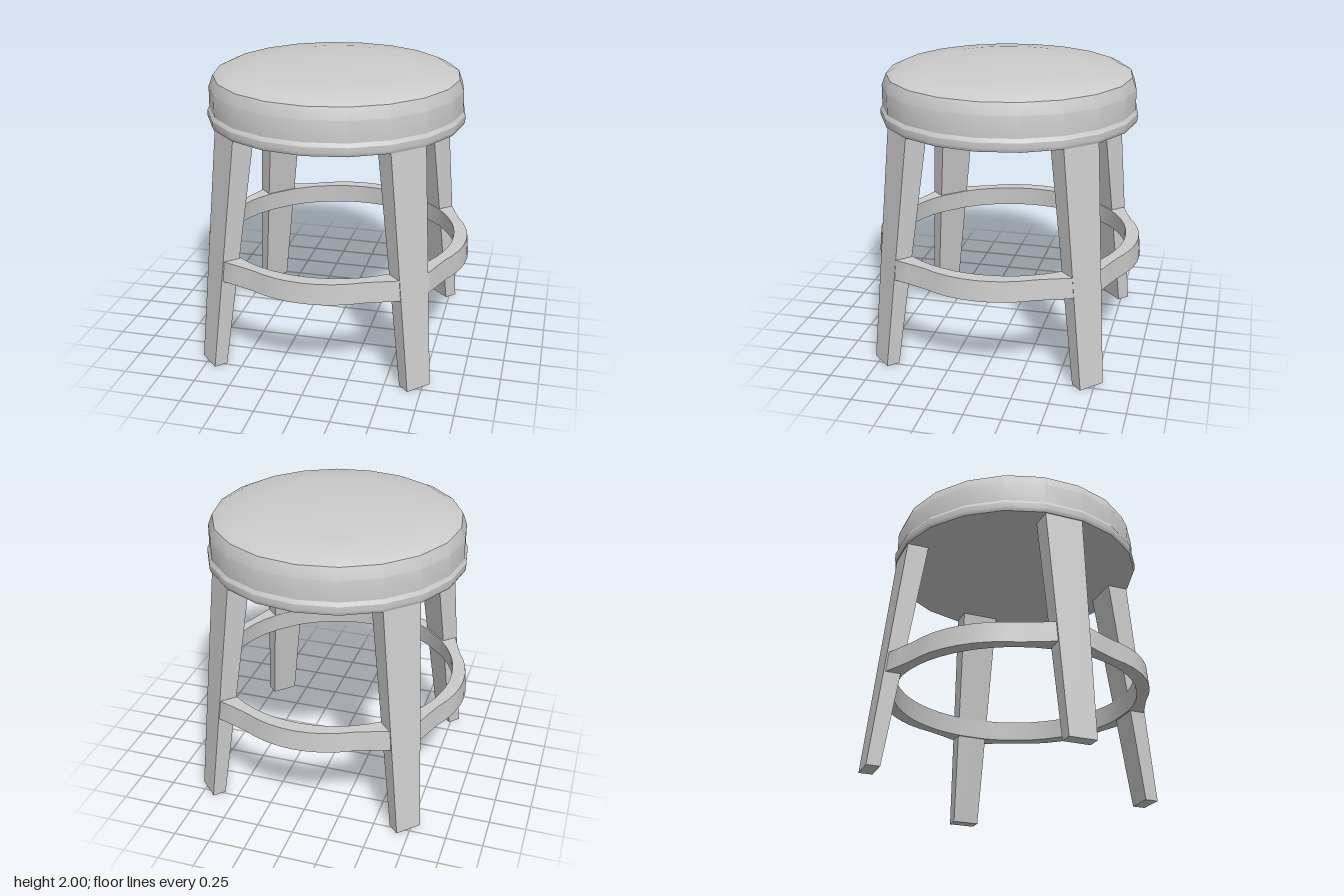
import * as THREE from 'three';
import { toCreasedNormals } from 'three/addons/utils/BufferGeometryUtils.js';

const material = new THREE.MeshStandardMaterial({ color: 0xcccccc });
const SEAT_BASE = 1.615;

function addMesh(parent, name, geometry) {
  const mesh = new THREE.Mesh(geometry, material);
  mesh.name = name;
  parent.add(mesh);
  return mesh;
}

// Padded round seat with a piping lip and a flat underside
function seatGeometry() {
  const profile = [
    [0, SEAT_BASE], [0.872, SEAT_BASE], [0.88, 1.635], [0.88, 1.675], [0.865, 1.7],
    [0.864, 1.84], [0.834, 1.918], [0.765, 1.951], [0.52, 1.982], [0.22, 1.999], [0, 2],
  ].map(([r, y]) => new THREE.Vector2(r, y));
  return toCreasedNormals(new THREE.LatheGeometry(profile, 20), 0.45);
}

// Splayed leg that widens towards the seat; +z points outwards
function legGeometry() {
  const geometry = new THREE.BoxGeometry(1, 1, 1);
  const pos = geometry.attributes.position;
  for (let i = 0; i < pos.count; i++) {
    const t = pos.getY(i) + 0.5;
    const halfWidth = THREE.MathUtils.lerp(0.092, 0.134, t);
    const outer = THREE.MathUtils.lerp(1.039, 0.856, t);
    const inner = THREE.MathUtils.lerp(0.947, 0.707, t);
    pos.setXYZ(i, Math.sign(pos.getX(i)) * halfWidth, t * SEAT_BASE, pos.getZ(i) > 0 ? outer : inner);
  }
  geometry.computeVertexNormals();
  return geometry;
}

// Foot ring: four arcs whose outer side flares to meet the legs
function ringGeometry() {
  const half = [[0, 0.936], [6, 0.935], [12, 0.931], [18, 0.924], [24, 0.916], [31, 0.93], [38.5, 0.965]];
  const arc = [...half.slice(1).reverse().map(([a, r]) => [-a, r]), ...half];
  const bottom = 0.64, top = 0.78, inner = 0.842, lean = 0.012;
  const positions = [], index = [];
  for (let quarter = 0; quarter < 4; quarter++) {
    for (const [degrees, outer] of arc) {
      const a = THREE.MathUtils.degToRad(degrees + quarter * 90);
      const section = [[outer, bottom], [outer - lean, top], [inner - lean, top], [inner, bottom]];
      for (const [r, y] of section) positions.push(r * Math.sin(a), y, r * Math.cos(a));
    }
  }
  const count = arc.length * 4;
  for (let i = 0; i < count; i++) {
    const n = (i + 1) % count;
    for (let k = 0; k < 4; k++) {
      const m = (k + 1) % 4;
      const a = i * 4 + k, b = n * 4 + k, c = n * 4 + m, d = i * 4 + m;
      index.push(a, b, c, a, c, d);
    }
  }
  const geometry = new THREE.BufferGeometry();
  geometry.setAttribute('position', new THREE.Float32BufferAttribute(positions, 3));
  geometry.setIndex(index);
  return toCreasedNormals(geometry, 0.6);
}

export function createModel() {
  const stool = new THREE.Group();
  stool.name = 'stool';

  addMesh(stool, 'seat', seatGeometry()).position.x = -0.006;
  addMesh(stool, 'footRing', ringGeometry());

  // Legs on the four diagonals
  const leg = legGeometry();
  ['frontLeftLeg', 'backLeftLeg', 'backRightLeg', 'frontRightLeg'].forEach((name, i) => {
    const mesh = addMesh(stool, name, leg);
    mesh.rotation.y = Math.PI / 4 + (i * Math.PI) / 2;
    mesh.position.x = -0.005;
  });

  return stool;
}
